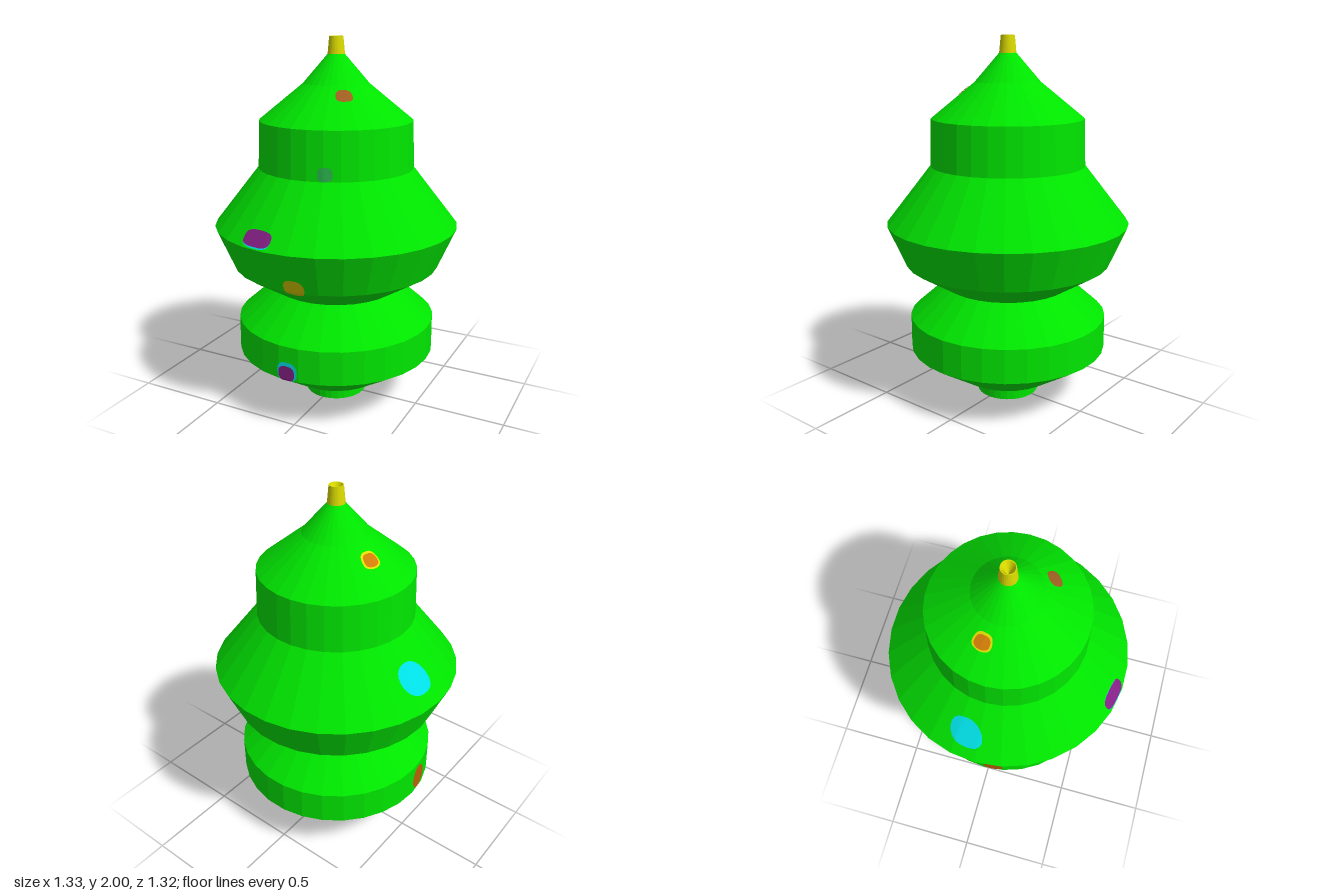
import * as THREE from 'three';

const SIDES = 30;

// Outline of the turned body as [radius, height], bottom to top
const PROFILE = [
  [0, 0], [0.173, 0], [0.175, 0.067], [0.28, 0.107], [0.55, 0.287], [0.549, 0.473],
  [0.352, 0.648], [0.566, 0.783], [0.663, 1.008], [0.42, 1.318], [0.411, 1.57],
  [0.176, 1.76], [0.045, 1.91], [0, 1.91],
];

const paint = (name, color) => {
  const material = new THREE.MeshStandardMaterial({ color });
  material.name = name;
  return material;
};

// Faceted lathe with a corner on the x axis
function turned(points) {
  const pts = points.map(([r, y]) => new THREE.Vector2(r, y));
  const geo = new THREE.LatheGeometry(pts, SIDES, Math.PI / 2).toNonIndexed();
  geo.computeVertexNormals();
  return geo;
}

// Radius of the faceted body at a height and angle
function bodyRadius(theta, y) {
  let i = 2;
  while (i < PROFILE.length - 2 && PROFILE[i][1] < y) i++;
  const [r0, y0] = PROFILE[i - 1];
  const [r1, y1] = PROFILE[i];
  const r = r0 + (r1 - r0) * (y - y0) / (y1 - y0);
  const step = (2 * Math.PI) / SIDES;
  const local = (((theta - Math.PI / 2) % step) + step) % step - step / 2;
  return r * Math.cos(step / 2) / Math.cos(local);
}

// Rounded patch of paint that follows the body surface
function patch({ x, z, y, w, h, tilt = 0, power = 2, lift = 0.005 }) {
  const rings = 6, segs = 32;
  const theta0 = Math.atan2(x, z);
  const radius0 = bodyRadius(theta0, y);
  const pos = [], index = [];
  for (let i = 0; i <= rings; i++) {
    for (let j = 0; j <= segs; j++) {
      const a = (j / segs) * 2 * Math.PI;
      const c = Math.cos(a), s = Math.sin(a);
      const k = i / rings;
      const v = k * h * Math.sign(s) * Math.abs(s) ** (2 / power);
      const u = k * w * Math.sign(c) * Math.abs(c) ** (2 / power) + v * tilt;
      const theta = theta0 + u / radius0;
      const r = bodyRadius(theta, y + v) + lift;
      pos.push(r * Math.sin(theta), y + v, r * Math.cos(theta));
      if (i < rings && j < segs) {
        const p = i * (segs + 1) + j, q = p + segs + 1;
        index.push(p, q, q + 1);
        if (i > 0) index.push(p, q + 1, p + 1);
      }
    }
  }
  const geo = new THREE.BufferGeometry();
  geo.setAttribute('position', new THREE.Float32BufferAttribute(pos, 3));
  geo.setIndex(index);
  geo.computeVertexNormals();
  return geo;
}

export function createModel() {
  const group = new THREE.Group();
  group.name = 'ornamentTree';

  const green = paint('green', 0x00e600);
  const yellow = paint('yellow', 0xdcdc00);
  const ochre = paint('ochre', 0xd8cc00);
  const purple = paint('purple', 0x862086);
  const cyan = paint('cyan', 0x00e0e6);
  const brown = paint('brown', 0xa06020);
  const rust = paint('rust', 0xb86008);
  const orange = paint('orange', 0xd07c08);
  const mint = paint('mint', 0x28b44c);

  const add = (name, geo, material) => {
    const mesh = new THREE.Mesh(geo, material);
    mesh.name = name;
    group.add(mesh);
  };

  // Tiered body with its foot
  add('body', turned(PROFILE), green);

  // Hollow tip
  add('tip', turned([[0.046, 1.905], [0.037, 2], [0.033, 2], [0, 1.93]]), yellow);

  // Painted spots
  const spots = [
    ['frontStripeRim', cyan, { x: -0.12, z: 0.61, y: 1.053, w: 0.084, h: 0.039, power: 3, lift: 0.004 }],
    ['frontStripe', purple, { x: -0.12, z: 0.61, y: 1.057, w: 0.085, h: 0.036, power: 3, lift: 0.007 }],
    ['frontOchreSpot', ochre, { x: 0.056, z: 0.57, y: 0.81, w: 0.056, h: 0.052, power: 2.3 }],
    ['lowerSpotRim', cyan, { x: -0.008, z: 0.55, y: 0.334, w: 0.058, h: 0.053, power: 2.6, lift: 0.004 }],
    ['lowerSpot', purple, { x: -0.01, z: 0.55, y: 0.325, w: 0.046, h: 0.042, power: 2.6, lift: 0.007 }],
    ['upperBrownSpot', brown, { x: 0.135, z: 0.183, y: 1.717, w: 0.042, h: 0.026, power: 2.8 }],
    ['mintSpot', mint, { x: 0.135, z: 0.39, y: 1.355, w: 0.038, h: 0.035, power: 3 }],
    ['upperOrangeSpotRim', yellow, { x: -0.245, z: -0.053, y: 1.7, w: 0.048, h: 0.03, power: 2.6, lift: 0.004 }],
    ['upperOrangeSpot', orange, { x: -0.245, z: -0.053, y: 1.7, w: 0.038, h: 0.023, power: 2.6, lift: 0.007 }],
    ['cyanPatch', cyan, { x: -0.55, z: -0.073, y: 1.147, w: 0.088, h: 0.074, tilt: -0.25, power: 2.2 }],
    ['sideRustSpot', rust, { x: -0.545, z: 0.055, y: 0.378, w: 0.058, h: 0.078 }],
  ];
  for (const [name, material, shape] of spots) add(name, patch(shape), material);

  return group;
}
